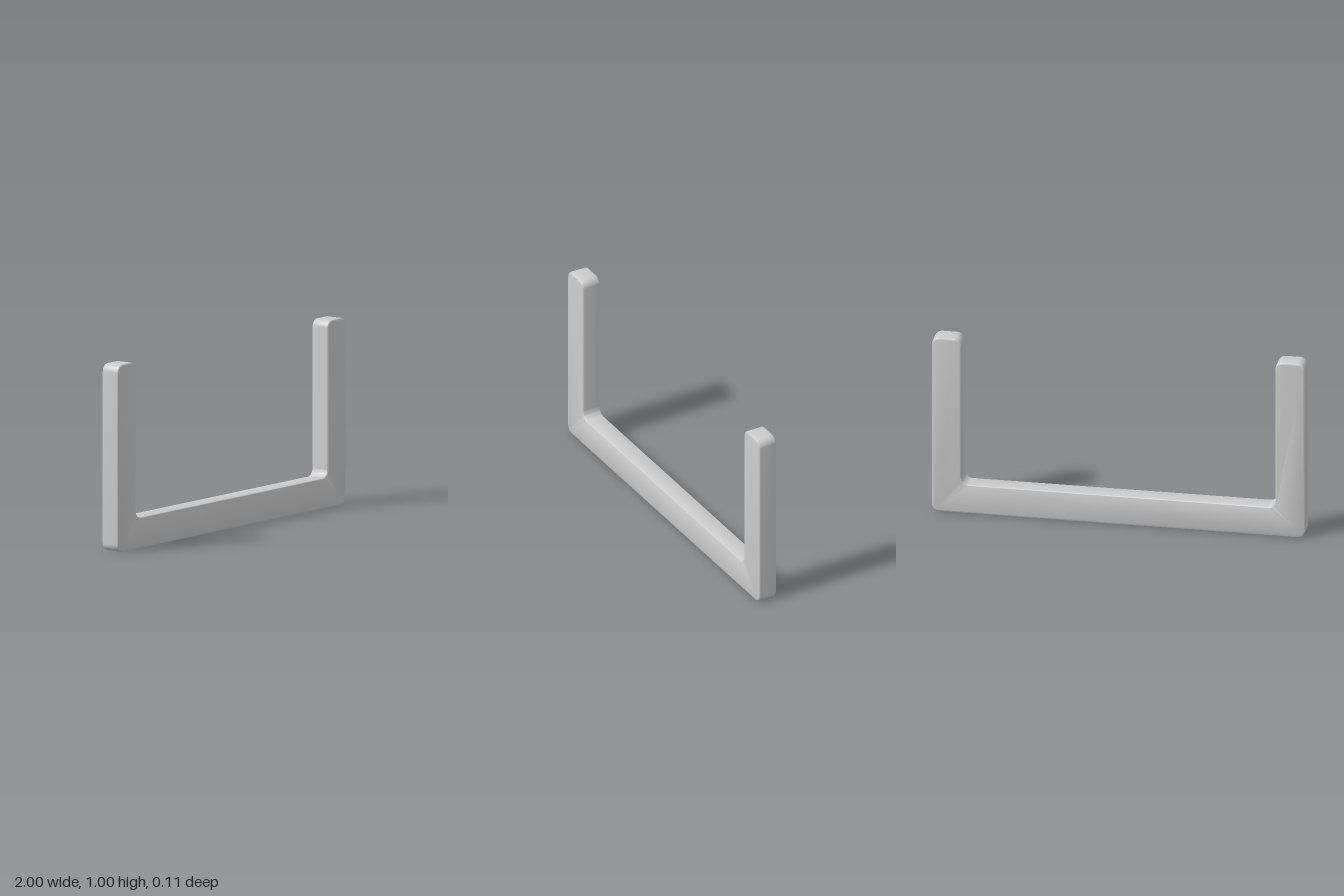
import * as THREE from 'three';
import { toCreasedNormals } from 'three/addons/utils/BufferGeometryUtils.js';

// Closed outline whose right-angled corners are rounded with radius r
function roundedOutline(corners, r) {
  const shape = new THREE.Shape();
  const pts = corners.map(([x, y]) => new THREE.Vector2(x, y));
  const toward = (a, b, d) => a.clone().add(b.clone().sub(a).setLength(d));
  const handle = r * (1 - 0.5523);
  pts.forEach((p, i) => {
    const prev = pts[(i + pts.length - 1) % pts.length];
    const next = pts[(i + 1) % pts.length];
    const start = toward(p, prev, r), end = toward(p, next, r);
    const c1 = toward(p, prev, handle), c2 = toward(p, next, handle);
    if (i === 0) shape.moveTo(start.x, start.y);
    else shape.lineTo(start.x, start.y);
    shape.bezierCurveTo(c1.x, c1.y, c2.x, c2.y, end.x, end.y);
  });
  shape.closePath();
  return shape;
}

export function createModel() {
  const group = new THREE.Group();
  group.name = 'bracket';

  const halfDepth = 0.053, bevel = 0.01;
  const inner = 0.84, barTop = 0.165;

  // U-shaped bar: two uprights joined by a base rail
  const outline = roundedOutline([
    [-1, 0], [1, 0], [1, 1], [inner, 1],
    [inner, barTop], [-inner, barTop], [-inner, 1], [-1, 1],
  ], 0.042);

  const geometry = new THREE.ExtrudeGeometry(outline, {
    depth: 2 * (halfDepth - bevel),
    bevelEnabled: true,
    bevelThickness: bevel,
    bevelSize: bevel,
    bevelOffset: -bevel,
    bevelSegments: 4,
    curveSegments: 8,
  });
  geometry.translate(0, 0, -(halfDepth - bevel));

  const bar = new THREE.Mesh(
    toCreasedNormals(geometry, 0.6),
    new THREE.MeshStandardMaterial({ color: 0xcccccc })
  );
  bar.name = 'uShapedBar';
  group.add(bar);
  return group;
}
